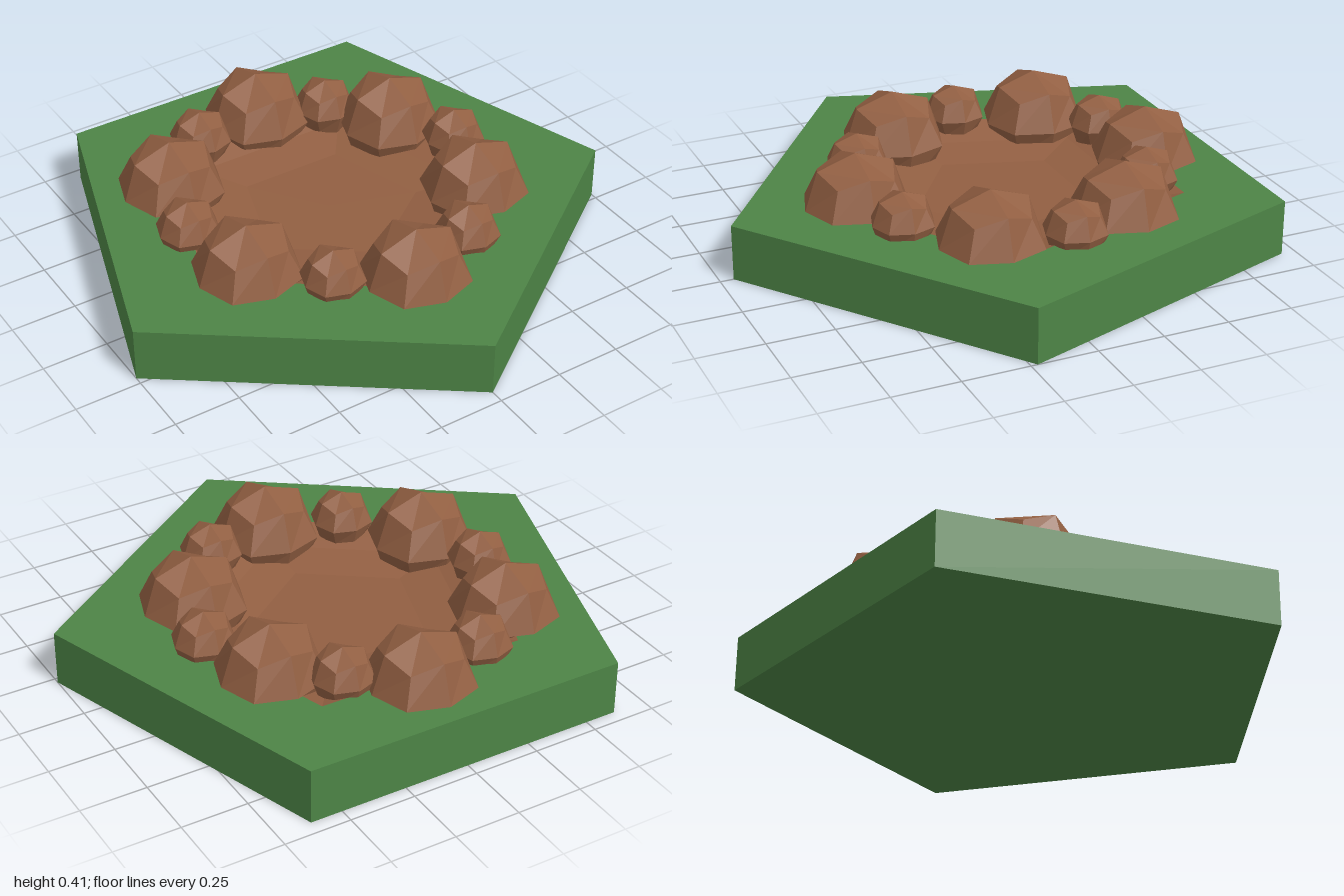
import * as THREE from 'three';

const green = new THREE.MeshStandardMaterial({ color: 0x4d8446, flatShading: true });
const brown = new THREE.MeshStandardMaterial({ color: 0x925f42, flatShading: true });

// Outline of the plot as [x, z], counter-clockwise seen from above
const outline = [[0, 0.95], [1, 0.225], [0.62, -0.945], [-0.62, -0.95], [-1, 0.22]];
const centreZ = -0.1;
const top = 0.21;

// Skins a stack of scaled outlines, each given as [scale, y]
function loft(rings) {
  const pos = [];
  const n = outline.length;
  const point = ([s, y], i) => {
    const [x, z] = outline[i % n];
    return [x * s, y, centreZ + (z - centreZ) * s];
  };
  for (let r = 0; r < rings.length - 1; r++) {
    const lo = rings[r], hi = rings[r + 1];
    for (let i = 0; i < n; i++) {
      const a = point(lo, i), b = point(lo, i + 1), c = point(hi, i + 1), d = point(hi, i);
      if (lo[0] > 0) pos.push(...a, ...b, ...c);
      if (hi[0] > 0) pos.push(...a, ...c, ...d);
    }
  }
  const geo = new THREE.BufferGeometry();
  geo.setAttribute('position', new THREE.Float32BufferAttribute(pos, 3));
  geo.computeVertexNormals();
  return geo;
}

// Faceted boulder: a 2x2x2 divided cube with edges and corners pulled in
function rockGeometry() {
  const geo = new THREE.BoxGeometry(2, 2, 2, 2, 2, 2);
  const p = geo.attributes.position;
  const pull = [1, 1, 0.75, 5 / 9];
  const v = new THREE.Vector3();
  for (let i = 0; i < p.count; i++) {
    v.fromBufferAttribute(p, i);
    v.multiplyScalar(pull[Math.round(v.lengthSq())]);
    p.setXYZ(i, v.x, v.y, v.z);
  }
  geo.computeVertexNormals();
  return geo;
}

export function createModel() {
  const group = new THREE.Group();
  const add = (name, geo, mat) => {
    const mesh = new THREE.Mesh(geo, mat);
    mesh.name = name;
    group.add(mesh);
    return mesh;
  };

  // Grass slab with an opening, and the shallow dirt hollow inside it
  add('grassBase', loft([[0, 0], [1, 0], [1, top], [0.65, top]]), green);
  add('dirtHollow', loft([[0.65, top], [0.5, 0.17], [0.32, 0.145], [0, 0.145]]), brown);

  // Ring of alternating large and small boulders, as [x, z]
  const rock = rockGeometry();
  const large = [[0.03, -0.68], [-0.475, -0.455], [0.45, -0.375], [-0.495, 0.135], [0.475, 0.16], [-0.005, 0.475]];
  const small = [[-0.25, -0.63], [0.27, -0.56], [-0.57, -0.155], [0.575, -0.12], [-0.28, 0.365], [0.27, 0.405]];
  const place = (name, spots, radius, y) => spots.forEach(([x, z]) => {
    const mesh = add(name, rock, brown);
    mesh.position.set(x, y, z);
    mesh.scale.setScalar(radius);
  });
  place('largeRock', large, 0.195, top);
  place('smallRock', small, 0.115, 0.24);

  return group;
}
